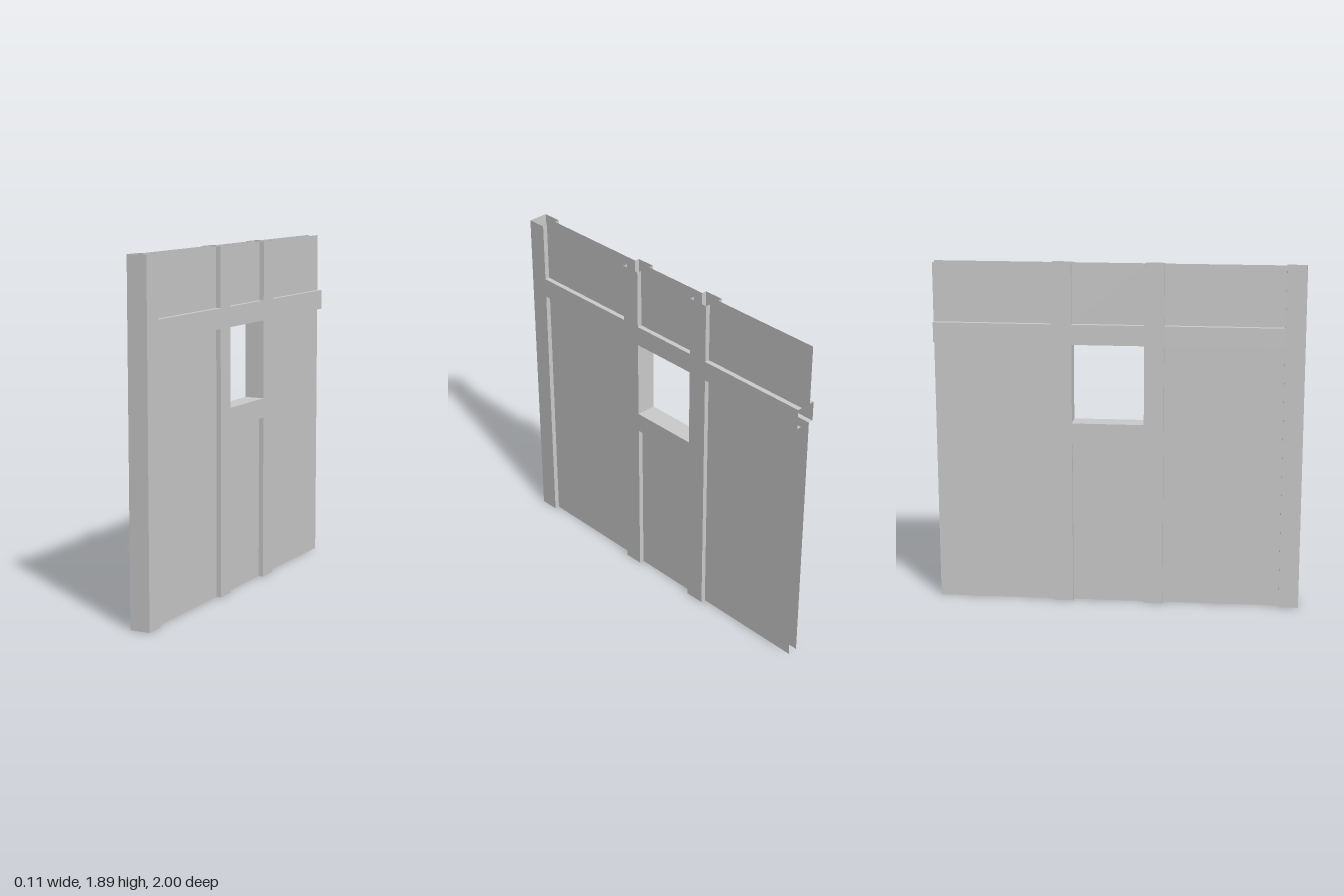
import * as THREE from 'three';

const H = 1.89;      // wall height
const OUT = 0.056;   // half thickness at posts and rails
const IN = 0.029;    // half thickness at recessed panels
const material = new THREE.MeshStandardMaterial({ color: 0xcccccc, side: THREE.DoubleSide, flatShading: true });

// Flat rectangle filling a box that has no depth along `axis`, facing dir
function plate(name, axis, dir, [x0, x1], [y0, y1], [z0, z1]) {
  const dx = x1 - x0, dy = y1 - y0, dz = z1 - z0;
  const g = axis === 'x' ? new THREE.PlaneGeometry(dz, dy).rotateY(dir * Math.PI / 2)
    : axis === 'y' ? new THREE.PlaneGeometry(dx, dz).rotateX(-dir * Math.PI / 2)
    : new THREE.PlaneGeometry(dx, dy).rotateY(dir > 0 ? 0 : Math.PI);
  g.translate((x0 + x1) / 2, (y0 + y1) / 2, (z0 + z1) / 2);
  const mesh = new THREE.Mesh(g, material);
  mesh.name = name;
  return mesh;
}

// Four faces around an opening, facing its middle; wall borders stay open
function lining(name, x, [y0, y1], [z0, z1]) {
  const group = new THREE.Group();
  group.name = name;
  if (y0 > 0) group.add(plate('lowerLedge', 'y', 1, x, [y0, y0], [z0, z1]));
  if (y1 < H) group.add(plate('upperLedge', 'y', -1, x, [y1, y1], [z0, z1]));
  if (z0 > -1) group.add(plate('rearJamb', 'z', 1, x, [y0, y1], [z0, z0]));
  if (z1 < 1) group.add(plate('frontJamb', 'z', -1, x, [y0, y1], [z1, z1]));
  return group;
}

// Panel and post spans along z, openings along y
const bays = { front: [0.249, 0.892], middle: [-0.249, 0.142], rear: [-1, -0.361] };
const posts = { endPost: [0.892, 1], frontPost: [0.142, 0.249], rearPost: [-0.361, -0.249] };
const RAIL = [1.457, 1.567], SILL = [0.913, 1.022], WINDOW = [SILL[1], RAIL[0]];

export function createModel() {
  const model = new THREE.Group();
  model.name = 'wallSection';

  for (const s of [1, -1]) {
    const side = new THREE.Group();
    side.name = s > 0 ? 'leftSide' : 'rightSide';
    const face = (name, d, y, z) => side.add(plate(name, 'x', s, [s * d, s * d], y, z));

    // Full-height posts, and the rail and sill between them
    for (const [name, z] of Object.entries(posts)) face(name, OUT, [0, H], z);
    for (const [name, z] of Object.entries(bays)) face(name + 'Rail', OUT, RAIL, z);
    face('windowSillRail', OUT, SILL, bays.middle);

    // Recessed panels with their stepped edges
    const step = s > 0 ? [IN, OUT] : [-OUT, -IN];
    for (const [name, z] of Object.entries(bays)) {
      const lower = [0, name === 'middle' ? SILL[0] : RAIL[0]];
      for (const [row, y] of [['Lower', lower], ['Upper', [RAIL[1], H]]]) {
        face(name + row + 'Panel', IN, y, z);
        side.add(lining(name + row + 'PanelEdge', step, y, z));
      }
    }
    model.add(side);
  }

  // Window opening through the wall and the closed front end
  model.add(lining('windowReveal', [-OUT, OUT], WINDOW, bays.middle));
  model.add(plate('endCap', 'z', 1, [-OUT, OUT], [0, H], [1, 1]));
  return model;
}
